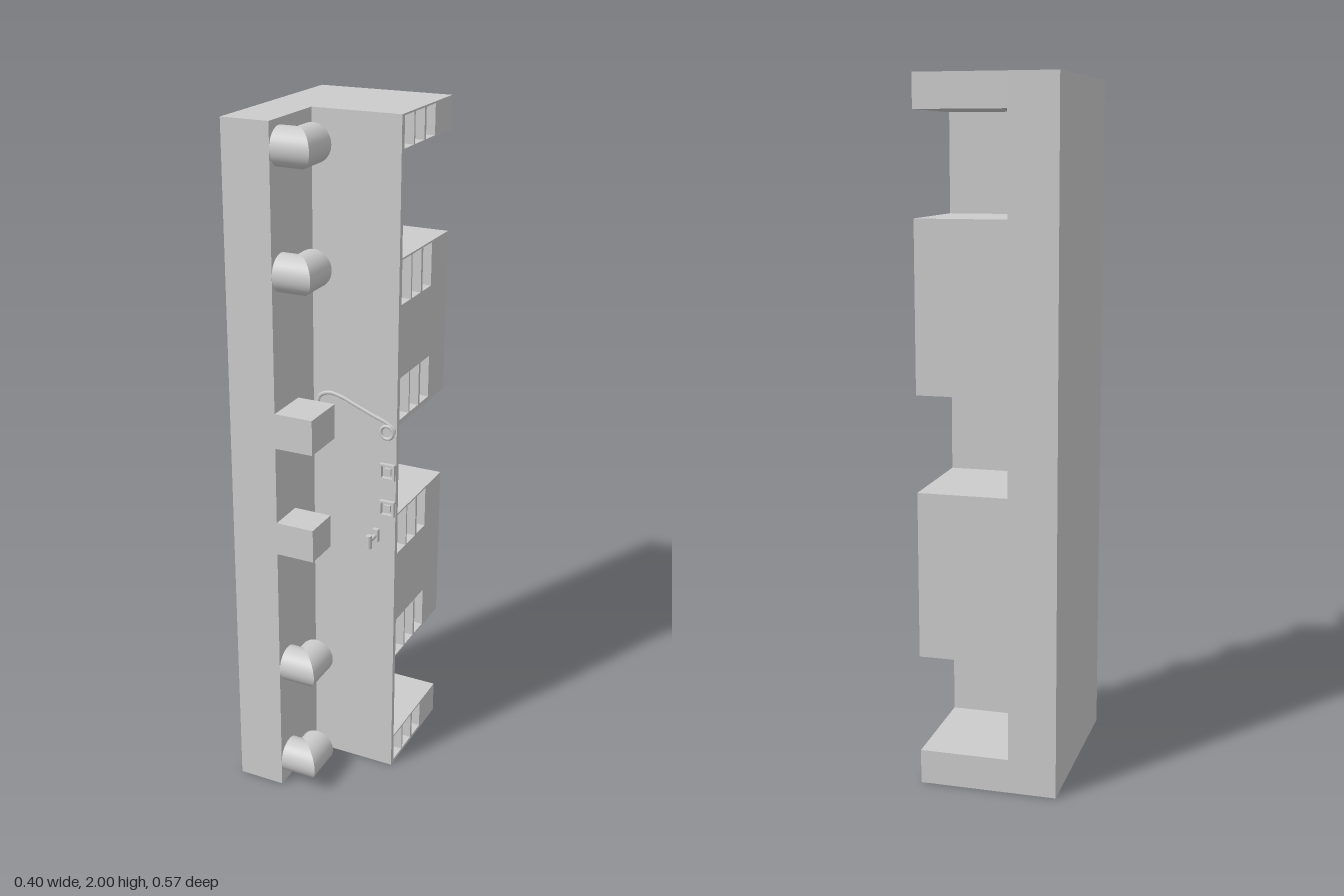
import * as THREE from 'three';

const grey = new THREE.MeshStandardMaterial({ color: 0xcccccc });

export function createModel() {
  const model = new THREE.Group();

  const add = (name, geometry, parent = model) => {
    const mesh = new THREE.Mesh(geometry, grey);
    mesh.name = name;
    parent.add(mesh);
    return mesh;
  };
  // Box given by its extents along each axis
  const box = (name, [x0, x1], [y0, y1], [z0, z1], parent) => {
    const g = new THREE.BoxGeometry(x1 - x0, y1 - y0, z1 - z0);
    g.translate((x0 + x1) / 2, (y0 + y1) / 2, (z0 + z1) / 2);
    return add(name, g, parent);
  };
  const rect = (target, x0, x1, y0, y1) => {
    target.moveTo(x0, y0).lineTo(x1, y0).lineTo(x1, y1).lineTo(x0, y1).closePath();
    return target;
  };

  // Full-height column and thin front panel
  box('sideColumn', [-0.2, -0.06], [0, 2], [-0.285, 0.285]);
  box('frontPanel', [-0.06, 0.2], [0, 2], [0.037, 0.053]);

  // Rear compartments, separated by open bays, with rows of three pockets in the side
  const compartments = [
    { y: [0, 0.1], rows: [[0.01, 0.095]] },
    { y: [0.385, 0.865], rows: [[0.39, 0.512], [0.735, 0.86]] },
    { y: [1.14, 1.62], rows: [[1.155, 1.28], [1.49, 1.615]] },
    { y: [1.905, 2], rows: [[1.91, 1.995]] },
  ];
  const pocketSpans = [[-0.036, 0.026], [0.033, 0.095], [0.106, 0.168]];
  const pocketDepth = 0.1;
  for (const { y, rows } of compartments) {
    const group = new THREE.Group();
    group.name = 'compartment';
    model.add(group);
    box('compartmentCore', [-0.06, 0.2 - pocketDepth], y, [-0.285, 0.037], group);
    const face = rect(new THREE.Shape(), -0.037, 0.285, y[0], y[1]);
    for (const row of rows)
      for (const span of pocketSpans) face.holes.push(rect(new THREE.Path(), ...span, ...row));
    const g = new THREE.ExtrudeGeometry(face, { depth: pocketDepth, bevelEnabled: false });
    g.rotateY(Math.PI / 2).translate(0.2 - pocketDepth, 0, 0);
    add('pocketedSide', g, group);
  }

  // Square outlets on the column
  box('upperSquareOutlet', [-0.06, 0.053], [1.115, 1.217], [0.147, 0.285]);
  box('lowerSquareOutlet', [-0.06, 0.053], [0.79, 0.888], [0.175, 0.285]);

  // Round elbows: two pipes meeting on the plane z = x + axisZ
  const radius = 0.0525, axisZ = 0.2325;
  for (const y of [0.08, 0.405, 1.6, 1.93]) {
    const elbow = new THREE.Group();
    elbow.name = 'pipeElbow';
    elbow.position.set(0, y, axisZ);
    model.add(elbow);

    const outward = new THREE.CylinderGeometry(radius, radius, 1, 40, 1, true).rotateZ(-Math.PI / 2);
    const p = outward.attributes.position;
    for (let i = 0; i < p.count; i++) p.setX(i, p.getX(i) < 0 ? -0.06 : p.getZ(i));
    add('wallPipe', outward, elbow);

    const back = new THREE.CylinderGeometry(radius, radius, 1, 40, 1, true).rotateX(Math.PI / 2);
    const q = back.attributes.position;
    for (let i = 0; i < q.count; i++) q.setZ(i, q.getZ(i) < 0 ? 0.162 - axisZ : q.getX(i));
    add('rearPipe', back, elbow);

    const cap = new THREE.CircleGeometry(radius, 40).rotateY(Math.PI).translate(0, 0, 0.162 - axisZ);
    add('pipeEnd', cap, elbow);
  }

  // Bent wire ending in a ring
  const wire = new THREE.CatmullRomCurve3([
    [-0.05, 1.165], [-0.04, 1.195], [-0.01, 1.208], [0.03, 1.201],
    [0.06, 1.189], [0.12, 1.165], [0.17, 1.146], [0.19, 1.132], [0.192, 1.118],
  ].map(([x, y]) => new THREE.Vector3(x, y, 0)));
  add('bentWire', new THREE.TubeGeometry(wire, 48, 0.006, 8).scale(1, 1, 0.6).translate(0, 0, 0.0535));
  add('wireRing', new THREE.TorusGeometry(0.019, 0.005, 8, 32).translate(0.172, 1.12, 0.058));

  // Framed buttons
  for (const y of [0.885, 1]) {
    const frame = rect(new THREE.Shape(), 0.153, 0.199, y - 0.024, y + 0.024);
    frame.holes.push(rect(new THREE.Path(), 0.159, 0.193, y - 0.018, y + 0.018));
    const g = new THREE.ExtrudeGeometry(frame, { depth: 0.012, bevelEnabled: false });
    add('buttonFrame', g.translate(0, 0, 0.053));
    box('button', [0.166, 0.186], [y - 0.01, y + 0.01], [0.053, 0.06]);
  }

  // Lever with a cross grip
  const lever = new THREE.Group();
  lever.name = 'lever';
  lever.position.set(0.142, 0.793, 0);
  model.add(lever);
  box('leverBase', [-0.009, 0.009], [-0.02, 0.02], [0.053, 0.066], lever);
  add('leverRod', new THREE.CylinderGeometry(0.006, 0.006, 0.05, 16).rotateX(Math.PI / 2).translate(0, 0, 0.08), lever);
  add('leverGrip', new THREE.CylinderGeometry(0.009, 0.009, 0.04, 20).translate(0, 0, 0.107), lever);

  return model;
}
